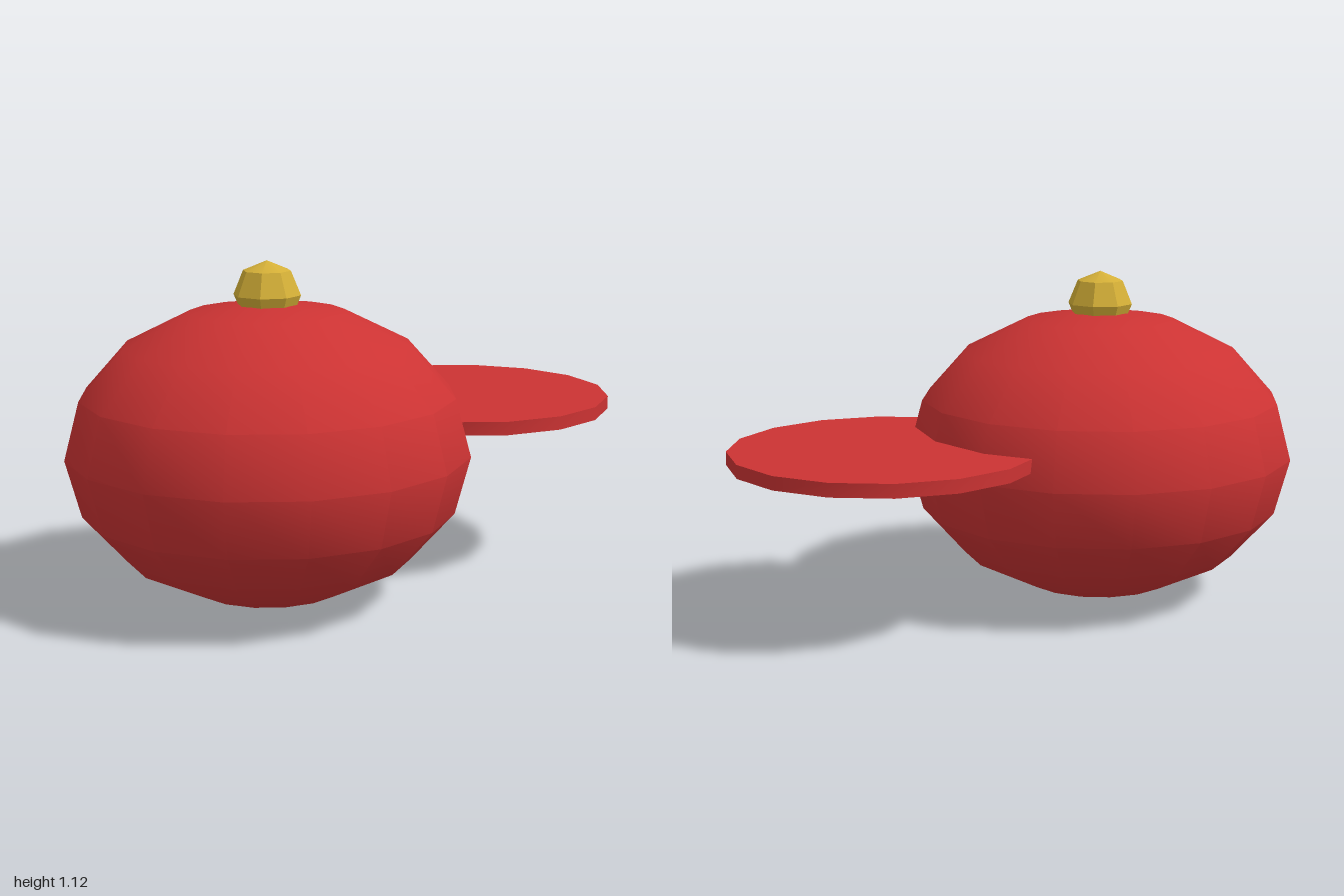
import * as THREE from 'three';
import { toCreasedNormals } from 'three/addons/utils/BufferGeometryUtils.js';

const red = new THREE.MeshStandardMaterial({ color: 0xcc3333 });
red.name = 'red';
const gold = new THREE.MeshStandardMaterial({ color: 0xd4af37 });
gold.name = 'gold';

// Smooth shading below a 30 degree crease, sharp above it
function part(name, geometry, material, x, y, z) {
  const mesh = new THREE.Mesh(toCreasedNormals(geometry, Math.PI / 6), material);
  mesh.name = name;
  mesh.position.set(x, y, z);
  return mesh;
}

export function createModel() {
  const group = new THREE.Group();
  group.name = 'cap';

  // Squashed round crown
  const crown = new THREE.SphereGeometry(0.665, 16, 8);
  crown.scale(1, 0.497 / 0.665, 1);
  group.add(part('crown', crown, red, 0, 0.5, 0.332));

  // Flat disc brim, partly sunk into the crown
  group.add(part('brim', new THREE.CylinderGeometry(0.512, 0.512, 0.045, 16), red, 0, 0.575, -0.488));

  // Faceted button on top
  group.add(part('button', new THREE.SphereGeometry(0.111, 8, 4), gold, 0, 1.014, 0.332));

  return group;
}
